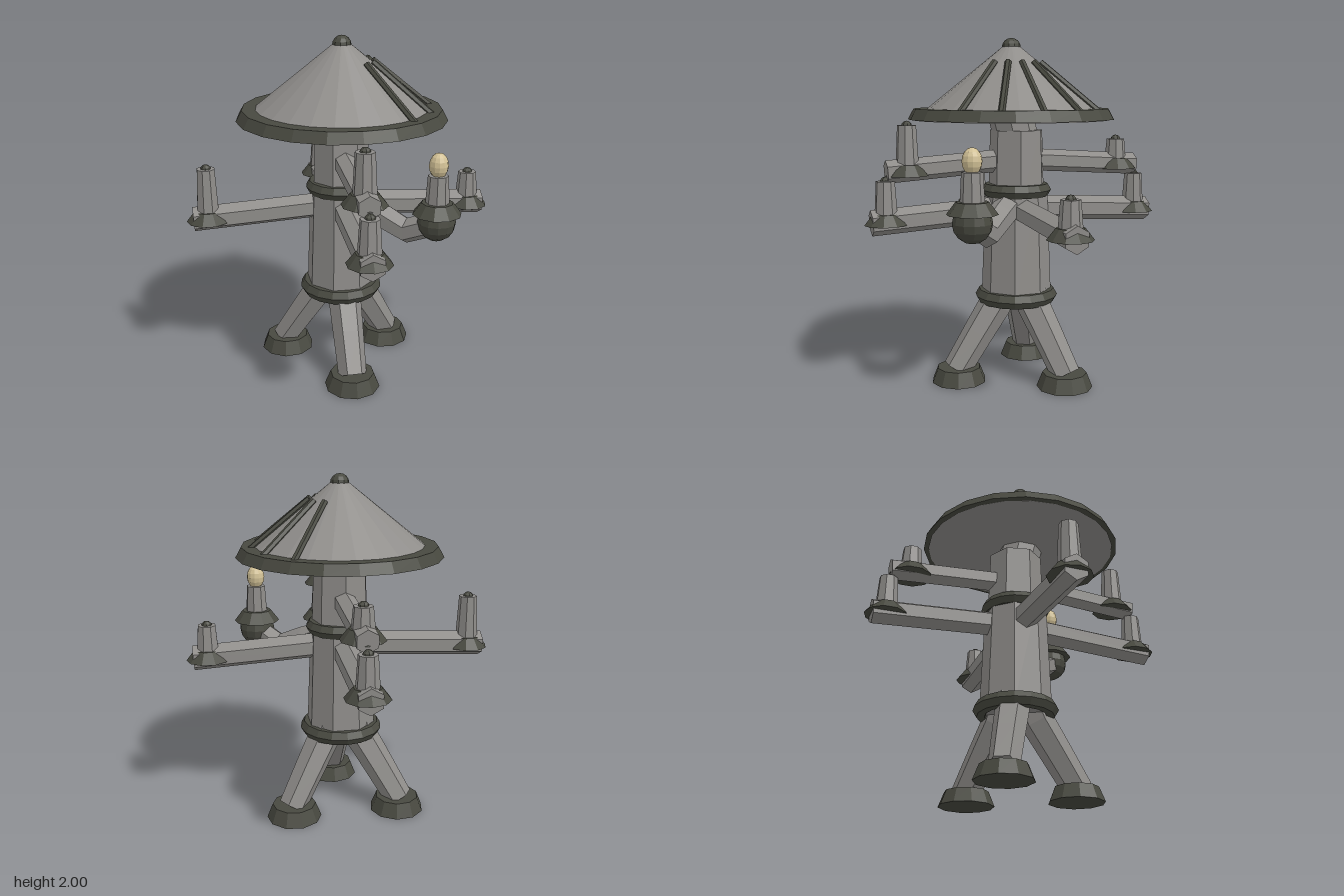
import * as THREE from 'three';

const material = (name, color) => {
  const m = new THREE.MeshStandardMaterial({ color, flatShading: true });
  m.name = name;
  return m;
};

// Closed tube swept along points [y, z, radius] in the local yz plane
function sweep(points, sides, phase) {
  const pos = [], index = [];
  const n = points.length;
  points.forEach(([y, z, r], i) => {
    const a = points[Math.max(0, i - 1)], b = points[Math.min(n - 1, i + 1)];
    const len = Math.hypot(b[0] - a[0], b[1] - a[1]);
    const ty = (b[0] - a[0]) / len, tz = (b[1] - a[1]) / len;
    for (let j = 0; j < sides; j++) {
      const t = phase + (j / sides) * Math.PI * 2;
      pos.push(r * Math.cos(t), y + r * Math.sin(t) * tz, z - r * Math.sin(t) * ty);
    }
  });
  for (let i = 0; i < n - 1; i++) {
    for (let j = 0; j < sides; j++) {
      const k = (j + 1) % sides, p = i * sides, q = p + sides;
      index.push(p + j, p + k, q + k, p + j, q + k, q + j);
    }
  }
  const last = (n - 1) * sides;
  for (let j = 1; j < sides - 1; j++) {
    index.push(0, j + 1, j, last, last + j, last + j + 1);
  }
  const g = new THREE.BufferGeometry();
  g.setAttribute('position', new THREE.Float32BufferAttribute(pos, 3));
  g.setIndex(index);
  g.computeVertexNormals();
  return g;
}

export function createModel() {
  const model = new THREE.Group();
  model.name = 'lampTower';
  const grey = material('stone grey', 0x8f8d8a);
  const dark = material('dark metal', 0x484940);
  const cream = material('cream glass', 0xd2c196);

  const add = (parent, name, geometry, mat, x = 0, y = 0, z = 0) => {
    const m = new THREE.Mesh(geometry, mat);
    m.name = name;
    m.position.set(x, y, z);
    parent.add(m);
    return m;
  };
  // Tapered cylinder given by its bottom and top heights
  const drum = (parent, name, mat, rBottom, rTop, y0, y1, sides, z = 0, turn = 0) => {
    const g = new THREE.CylinderGeometry(rTop, rBottom, y1 - y0, sides);
    g.rotateY(turn);
    return add(parent, name, g, mat, 0, (y0 + y1) / 2, z);
  };
  // Group whose local +z points outwards at the given angle
  const spoke = (name, angle) => {
    const g = new THREE.Group();
    g.name = name;
    g.rotation.y = angle;
    model.add(g);
    return g;
  };

  // Trunk and neck
  const eighth = Math.PI / 8;
  drum(model, 'lowerTrunk', grey, 0.208, 0.183, 0.47, 1.13, 8, 0, eighth);
  drum(model, 'upperTrunk', grey, 0.17, 0.158, 1.1, 1.475, 7, -0.005, Math.PI);
  add(model, 'neck', sweep([[1.42, 0, 0.13], [1.56, 0.035, 0.13]], 8, eighth), grey);

  // Collars
  for (const [name, R, tube, y] of [['lowerCollar', 0.2, 0.045, 0.495], ['upperCollar', 0.163, 0.042, 1.127]]) {
    const g = new THREE.TorusGeometry(R, tube, 6, 16);
    g.rotateX(Math.PI / 2);
    add(model, name, g, dark, 0, y, 0);
  }

  // Three legs with feet
  for (let i = 0; i < 3; i++) {
    const leg = spoke('legGroup', (i * Math.PI * 2) / 3);
    const path = [[0.56, 0.09, 0.1], [0.44, 0.135, 0.098], [0.28, 0.24, 0.092], [0.07, 0.375, 0.084]];
    add(leg, 'leg', sweep(path, 6, 0), grey);
    drum(leg, 'foot', dark, 0.162, 0.128, 0, 0.085, 10, 0.363);
  }

  // Straight arms: angle, base height, end height, radius, length, cup distance, cup height, candle top
  const H = Math.PI / 2;
  const arms = [
    [0, 1.015, 0.972, 0.074, 0.86, 0.776, 0.96, 1.205],
    [H, 1.015, 0.972, 0.074, 0.86, 0.776, 0.96, 1.165],
    [2 * H, 1.015, 0.972, 0.074, 0.86, 0.776, 0.96, 1.195],
    [3 * H, 1.015, 0.972, 0.074, 0.86, 0.776, 0.96, 1.27],
    [0, 1.3, 1.255, 0.065, 0.77, 0.65, 1.232, 1.512],
    [2 * H, 1.3, 1.255, 0.065, 0.77, 0.65, 1.232, 1.41],
  ];
  for (const [angle, y0, y1, r, length, d, cupY, top] of arms) {
    const g = spoke('armGroup', angle);
    add(g, 'arm', sweep([[y0, 0.1, r], [y1, length, r]], 6, H), grey);
    drum(g, 'cup', dark, 0.124, 0.075, cupY, cupY + 0.062, 10, d);
    drum(g, 'candle', grey, 0.066, 0.053, cupY + 0.04, top, 8, d, eighth);
    add(g, 'candleKnob', new THREE.SphereGeometry(0.031, 8, 6), dark, 0, top - 0.006, d);
  }

  // Bent arm with the lantern
  const lantern = spoke('lanternGroup', Math.atan2(0.46, 0.415));
  const bend = [[1.05, 0.1, 0.082], [1.0, 0.25, 0.08], [0.93, 0.44, 0.075], [1.01, 0.62, 0.07]];
  add(lantern, 'bentArm', sweep(bend, 6, H), grey);
  const D = 0.62;
  add(lantern, 'lanternBall', new THREE.SphereGeometry(0.108, 12, 8), dark, 0, 1.018, D);
  drum(lantern, 'lanternCup', dark, 0.138, 0.088, 1.066, 1.132, 10, D);
  drum(lantern, 'lanternCandle', grey, 0.067, 0.057, 1.11, 1.287, 8, D, eighth);
  add(lantern, 'lanternBulb', new THREE.SphereGeometry(0.054, 12, 8), cream, 0, 1.343, D).scale.y = 1.33;

  // Conical roof, its rim and finial
  const roof = new THREE.Group();
  roof.name = 'roof';
  roof.position.z = 0.03;
  model.add(roof);
  drum(roof, 'roofRim', dark, 0.598, 0.565, 1.54, 1.6, 20);
  drum(roof, 'roofCone', grey, 0.568, 0.045, 1.535, 1.955, 24);
  add(roof, 'finial', new THREE.SphereGeometry(0.055, 10, 8), dark, 0, 1.945, 0);

  // Five ribs fanned over the left side of the roof
  for (const degrees of [-52, -26, 0, 26, 52]) {
    const rib = add(roof, 'roofRib', sweep([[1.86, 0.175, 0.019], [1.585, 0.515, 0.019]], 6, 0), dark);
    rib.rotation.y = H + (degrees * Math.PI) / 180;
  }
  return model;
}
